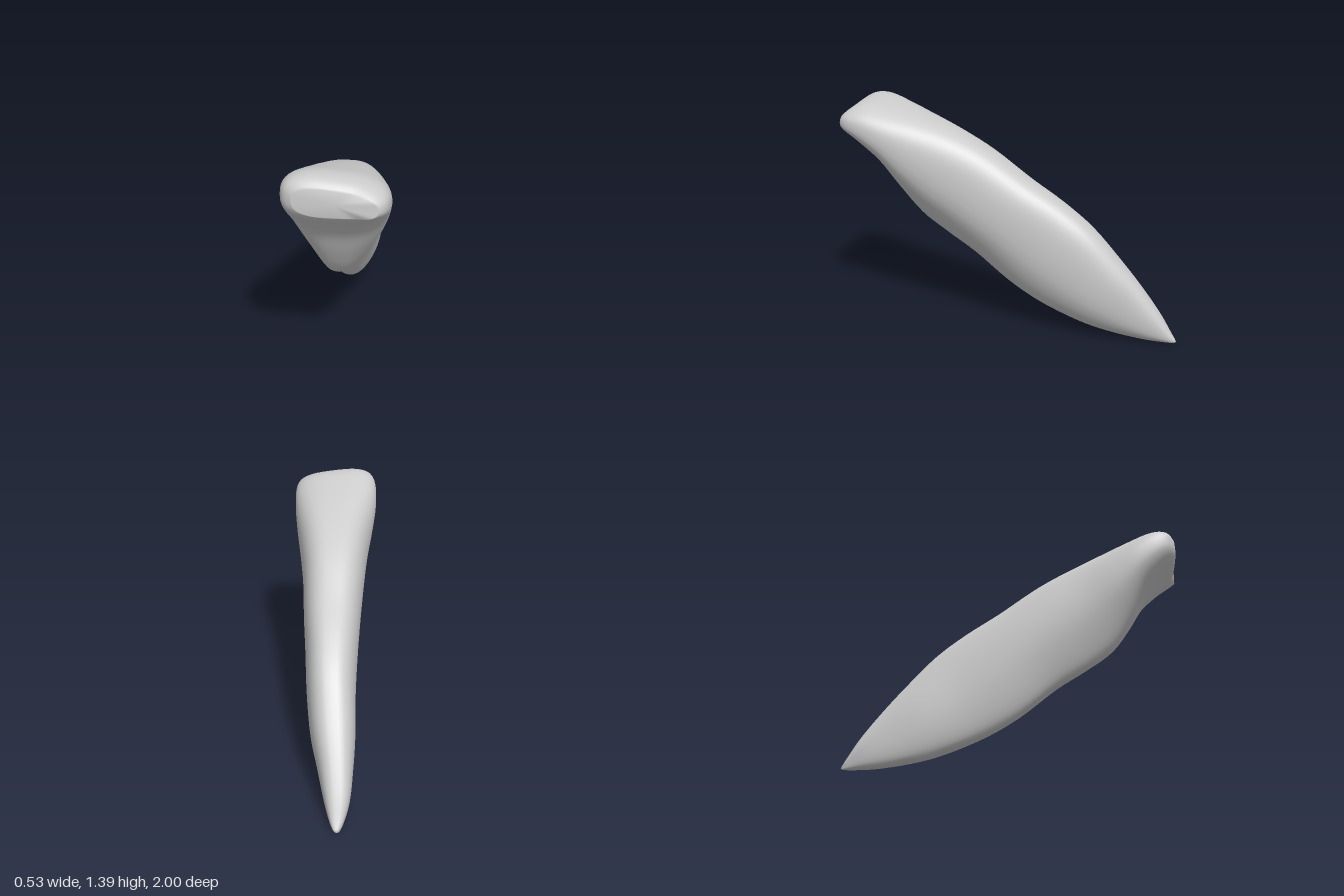
import * as THREE from 'three';

// Cross-sections from root tip to biting edge:
// upper z, upper y, lower z, lower y, x min, x max, narrowing of the lower half
const SECTIONS = [
  [-0.99, 0.036, -0.985, 0.012, -0.02, 0.01, 0.1],
  [-0.96, 0.08, -0.93, 0.008, -0.045, 0.03, 0.15],
  [-0.89, 0.19, -0.79, 0.01, -0.08, 0.062, 0.2],
  [-0.78, 0.34, -0.58, 0.04, -0.1, 0.1, 0.25],
  [-0.65, 0.5, -0.4, 0.09, -0.113, 0.14, 0.3],
  [-0.48, 0.69, -0.17, 0.185, -0.117, 0.165, 0.35],
  [-0.3, 0.83, 0.03, 0.3, -0.13, 0.176, 0.4],
  [-0.1, 0.955, 0.24, 0.46, -0.15, 0.19, 0.45],
  [0.13, 1.11, 0.43, 0.575, -0.175, 0.2, 0.5],
  [0.33, 1.215, 0.58, 0.69, -0.2, 0.22, 0.45],
  [0.53, 1.295, 0.69, 0.85, -0.235, 0.245, 0.3],
  [0.7, 1.35, 0.78, 1.01, -0.26, 0.26, 0.15],
  [0.83, 1.385, 0.88, 1.12, -0.262, 0.261, 0.05],
  [0.92, 1.38, 0.945, 1.18, -0.24, 0.245, 0],
  [0.965, 1.345, 0.975, 1.215, -0.19, 0.205, 0],
];
const SIDES = 48;
const STEPS = 4;

// Smooth interpolation of one section value
function sample(t, column) {
  const last = SECTIONS.length - 1;
  const i = Math.min(Math.floor(t), last - 1);
  const f = t - i;
  const at = (n) => SECTIONS[Math.max(0, Math.min(last, n))][column];
  const [a, b, c, d] = [at(i - 1), at(i), at(i + 1), at(i + 2)];
  return b + 0.5 * f * (c - a + f * (2 * a - 5 * b + 4 * c - d + f * (3 * (b - c) + d - a)));
}

const rounded = (v, power) => Math.sign(v) * Math.abs(v) ** power;

function toothGeometry() {
  const positions = [];
  const index = [];
  const rings = (SECTIONS.length - 1) * STEPS + 1;

  for (let r = 0; r < rings; r++) {
    const t = r / STEPS;
    const [uz, uy, lz, ly, x0, x1, narrow] = [0, 1, 2, 3, 4, 5, 6].map((c) => sample(t, c));
    const crown = THREE.MathUtils.smoothstep(t, 9, 13);
    const edge = THREE.MathUtils.smoothstep(t, 12.5, 14);
    for (let s = 0; s < SIDES; s++) {
      const a = (s / SIDES) * Math.PI * 2;
      const u = rounded(Math.cos(a), 0.72);
      const v = rounded(Math.sin(a), 0.76);
      const below = Math.max(0, -v);
      // the inner side tapers to a ridge set slightly to the right
      const x = (x0 + x1) / 2 + ((x1 - x0) / 2) * u * (1 - narrow * below ** 1.5) - 0.09 * narrow * below ** 2;
      const k = (v + 1) / 2;
      // the biting edge slopes down to a forward corner on the left
      const corner = THREE.MathUtils.smoothstep(x, 0.08, 0.19) * edge;
      positions.push(
        x,
        THREE.MathUtils.lerp(ly, uy, k) - 0.12 * x * crown * k,
        THREE.MathUtils.lerp(lz, uz, k) + 0.025 * corner,
      );
    }
  }

  // end points
  const tip = rings * SIDES;
  positions.push(-0.005, 0.02, -1, 0.005, 1.28, 0.978);

  for (let s = 0; s < SIDES; s++) {
    const n = (s + 1) % SIDES;
    for (let r = 0; r < rings - 1; r++) {
      const p = r * SIDES;
      const q = p + SIDES;
      index.push(p + s, p + n, q + s, p + n, q + n, q + s);
    }
    const end = (rings - 1) * SIDES;
    index.push(tip, n, s, tip + 1, end + s, end + n);
  }

  const geometry = new THREE.BufferGeometry();
  geometry.setAttribute('position', new THREE.Float32BufferAttribute(positions, 3));
  geometry.setIndex(index);
  geometry.computeVertexNormals();
  return geometry;
}

export function createModel() {
  const group = new THREE.Group();
  group.name = 'incisorTooth';
  const enamel = new THREE.MeshStandardMaterial({ color: 0xcccccc });
  enamel.name = 'light grey enamel';
  const tooth = new THREE.Mesh(toothGeometry(), enamel);
  tooth.name = 'crownAndRoot';
  group.add(tooth);
  return group;
}
